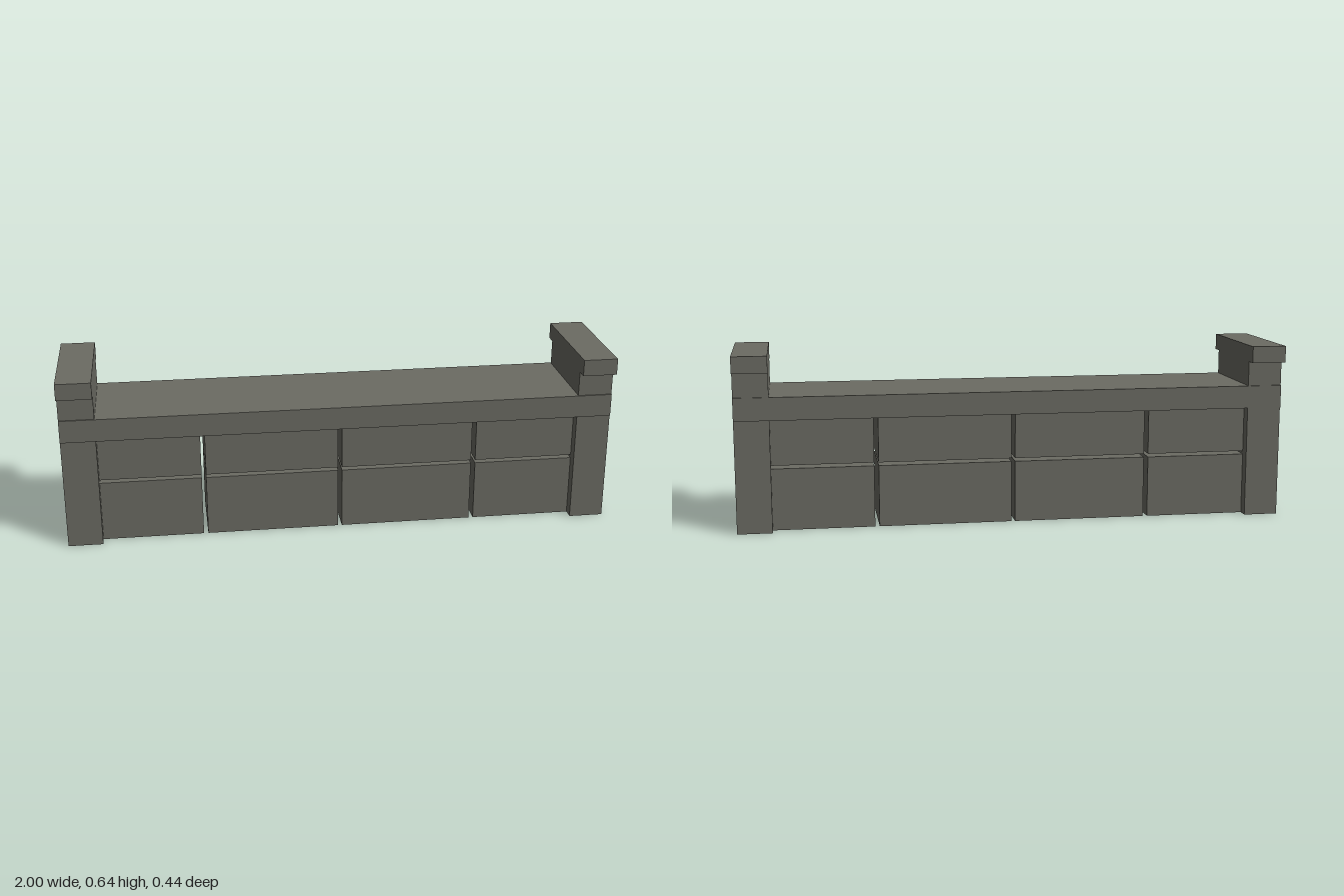
import * as THREE from 'three';

export function createModel() {
  const model = new THREE.Group();
  const stone = new THREE.MeshStandardMaterial({ color: 0x6b6b63 });
  stone.name = 'grey stone';

  // Box given by its x and y ranges and its depth, centred on z = 0
  const slab = (name, x0, x1, y0, y1, depth) => {
    const mesh = new THREE.Mesh(new THREE.BoxGeometry(x1 - x0, y1 - y0, depth), stone);
    mesh.name = name;
    mesh.position.set((x0 + x1) / 2, (y0 + y1) / 2, 0);
    model.add(mesh);
  };

  // End posts with overhanging caps
  const inner = 0.875;
  for (const [side, x0, x1] of [['left', inner, 1], ['right', -1, -inner]]) {
    slab(`${side}Post`, x0, x1, 0, 0.58, 0.36);
    slab(`${side}PostCap`, x0, x1, 0.58, 0.64, 0.44);
  }

  // Coping beam across the full width, slightly proud of the posts
  slab('copingBeam', -1, 1, 0.407, 0.49, 0.37);

  // Two rows of recessed blocks with open joints between them
  const columns = [[-inner, -0.508], [-0.492, -0.007], [0.007, 0.492], [0.508, inner]];
  const rows = [[0, 0.225], [0.237, 0.407]];
  rows.forEach(([y0, y1], r) =>
    columns.forEach(([x0, x1], c) => slab(`wallBlock${r + 1}_${c + 1}`, x0, x1, y0, y1, 0.28)));

  return model;
}
